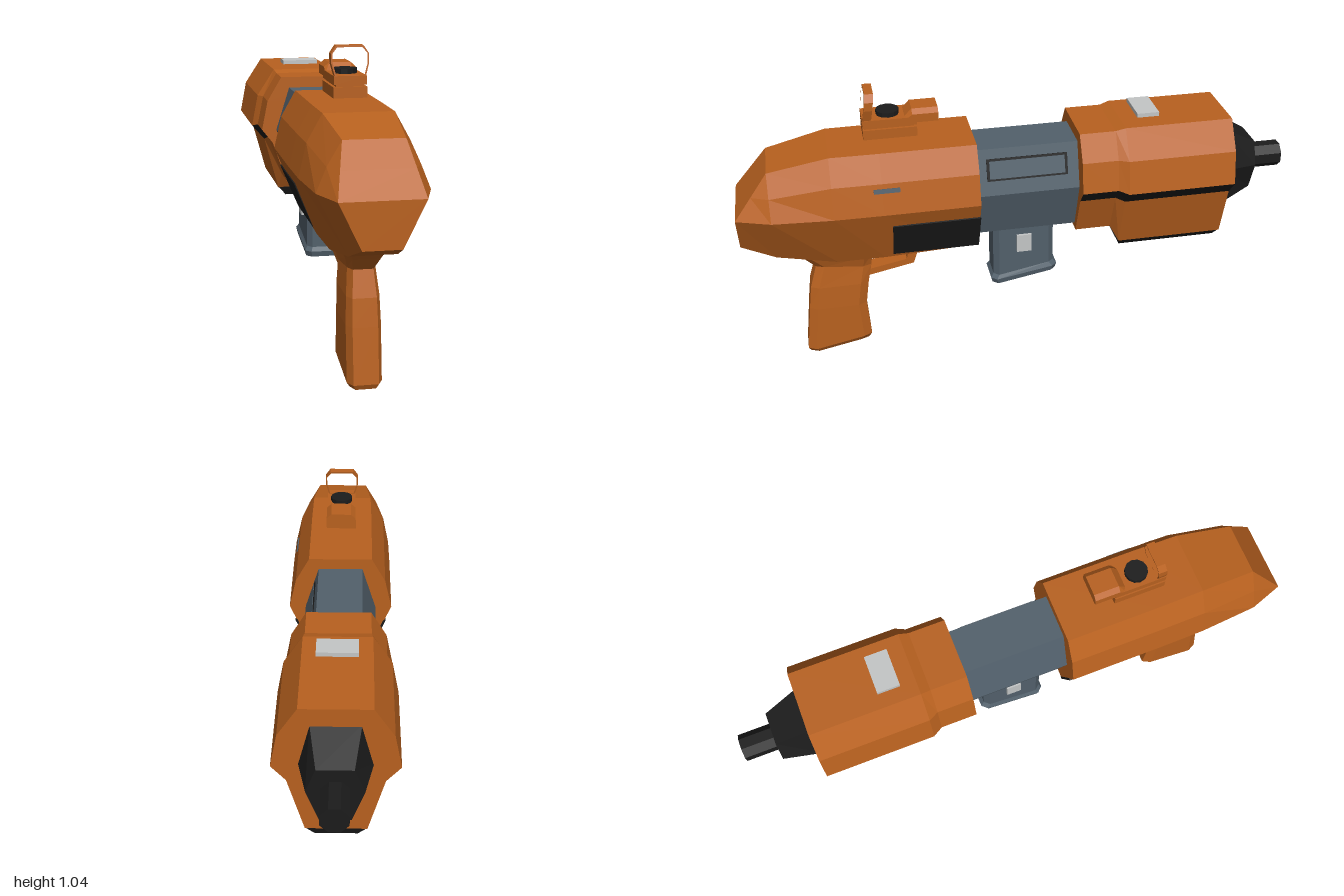
import * as THREE from 'three';

const mat = (name, color) => Object.assign(new THREE.MeshStandardMaterial({ color, flatShading: true }), { name });

// Loft mirrored half-outlines [x, y, z?] (top to bottom) through sections ordered by falling z.
// Facets listed in 'second' use material index 1.
function loft(sections, second = []) {
  const rings = sections.map(({ z, half }) => {
    const right = half.map(([x, y, pz]) => new THREE.Vector3(x, y, pz ?? z));
    const left = right.map(p => new THREE.Vector3(-p.x, p.y, p.z)).reverse();
    return [...right, ...left];
  });
  const lists = [[], []], n = rings[0].length;
  const tri = (k, a, b, c) => {
    const area = b.clone().sub(a).cross(c.clone().sub(a)).length();
    if (area > 1e-8) for (const p of [a, b, c]) lists[k].push(p.x, p.y, p.z);
  };
  const quad = (k, a, b, c, d) => { tri(k, a, b, c); tri(k, a, c, d); };
  for (let s = 0; s + 1 < rings.length; s++) {
    for (let i = 0; i < n; i++) {
      const j = (i + 1) % n, side = Math.min(i, n - 2 - i);
      quad(second.includes(side) ? 1 : 0, rings[s][i], rings[s][j], rings[s + 1][j], rings[s + 1][i]);
    }
  }
  const a = rings[0], b = rings[rings.length - 1];
  for (let i = 0; i + 1 < n / 2; i++) {
    const l = n - 1 - i;
    quad(0, a[i], a[l], a[l - 1], a[i + 1]);
    quad(0, b[i], b[i + 1], b[l - 1], b[l]);
  }
  const geo = new THREE.BufferGeometry();
  geo.setAttribute('position', new THREE.Float32BufferAttribute(lists.flat(), 3));
  geo.addGroup(0, lists[0].length / 3, 0);
  if (lists[1].length) geo.addGroup(lists[0].length / 3, lists[1].length / 3, 1);
  geo.computeVertexNormals();
  return geo;
}

export function createModel() {
  const model = new THREE.Group();
  const orange = mat('orange shell', 0xb8611f);
  const steel = mat('blue grey metal', 0x52606b);
  const black = mat('black rubber', 0x1c1c1c);
  const pale = mat('pale grey', 0xc4c6c6);

  const add = (name, geo, material) => {
    const mesh = new THREE.Mesh(geo, material);
    mesh.name = name;
    model.add(mesh);
    return mesh;
  };
  const box = (name, m, x0, x1, y0, y1, z0, z1) =>
    add(name, new THREE.BoxGeometry(x1 - x0, y1 - y0, z1 - z0), m)
      .position.set((x0 + x1) / 2, (y0 + y1) / 2, (z0 + z1) / 2);
  // Thin plate lying on a sloping side facet from p to q
  const plate = (name, m, p, q, z0, z1, thick = 0.008) => {
    const dx = q[0] - p[0], dy = q[1] - p[1];
    const mesh = add(name, new THREE.BoxGeometry(Math.hypot(dx, dy), thick, z1 - z0), m);
    mesh.position.set((p[0] + q[0]) / 2, (p[1] + q[1]) / 2, (z0 + z1) / 2);
    mesh.rotation.z = Math.atan2(dy, dx);
  };

  // Stock with bevelled rear end
  add('stock', loft([
    { z: 1, half: [[0.095, 0.805, 0.88], [0.1125, 0.7275, 0.94], [0.13, 0.65], [0.06, 0.505]] },
    { z: 0.88, half: [[0.095, 0.805], [0.14, 0.728], [0.172, 0.65], [0.075, 0.457]] },
    { z: 0.67, half: [[0.113, 0.85], [0.163, 0.76], [0.188, 0.65], [0.09, 0.42]] },
    { z: 0.5, half: [[0.115, 0.85], [0.165, 0.76], [0.19, 0.65], [0.1, 0.425]] },
    { z: 0.165, half: [[0.115, 0.85], [0.165, 0.76], [0.19, 0.65], [0.1, 0.438]] },
  ]), orange);
  for (const s of [1, -1])
    plate('stockSidePanel', black, [s * 0.166, 0.59], [s * 0.1025, 0.44], 0.163, 0.472);
  plate('stockSlot', steel, [0.169, 0.743], [0.1725, 0.728], 0.44, 0.53);

  // Receiver with recessed port on the left
  const core = [[0.08, 0.81], [0.13, 0.65], [0.075, 0.47]];
  add('receiver', loft([{ z: 0.18, half: core }, { z: -0.22, half: core }]), steel);
  plate('portFrame', black, [0.091, 0.776], [0.1145, 0.7], -0.16, 0.13, 0.005);
  plate('portCover', steel, [0.0935, 0.768], [0.1125, 0.707], -0.15, 0.12, 0.009);

  // Fore-end with black undercut strips
  const small = [[0.11, 0.85], [0.163, 0.76], [0.185, 0.65], [0.145, 0.6], [0.092, 0.45]];
  const large = [[0.115, 0.86], [0.18, 0.76], [0.203, 0.64], [0.155, 0.585], [0.1, 0.385]];
  add('foreEnd', loft([
    { z: -0.2, half: small },
    { z: -0.33, half: small },
    { z: -0.365, half: large },
    { z: -0.758, half: large },
  ], [2]), [orange, black]);
  add('foreEndBase', loft([
    { z: -0.36, half: [[0.098, 0.387], [0.07, 0.353, -0.375]] },
    { z: -0.758, half: [[0.098, 0.387], [0.07, 0.353, -0.745]] },
  ]), black);
  box('topPlate', pale, -0.068, 0.068, 0.873, 0.888, -0.5, -0.42);

  // Muzzle cone and barrel
  add('muzzleCone', loft([
    { z: -0.75, half: [[0.08, 0.8], [0.118, 0.65], [0.065, 0.468]] },
    { z: -0.88, half: [[0.058, 0.728], [0.09, 0.645], [0.05, 0.535]] },
  ]), black);
  const barrel = add('barrel', new THREE.CylinderGeometry(0.048, 0.048, 0.14, 8), black);
  barrel.rotation.set(Math.PI / 2, Math.PI / 8, 0);
  barrel.position.set(0, 0.64, -0.93);

  // Upright parts: rows of [y at front, y at back, z front, z back, half width]
  const upright = (name, m, rows, bevel) => add(name, loft(rows.map(([yf, yb, zf, zb, w]) => ({
    z: 0,
    half: [[w * 0.72, -zf, yf], [w, -zf - bevel, yf], [w, -zb + bevel, yb], [w * 0.72, -zb, yb]],
  }))).rotateX(-Math.PI / 2), m);

  upright('grip', orange, [
    [0.45, 0.45, 0.53, 0.82, 0.075],
    [0.41, 0.42, 0.545, 0.79, 0.06],
    [0.36, 0.375, 0.55, 0.75, 0.045],
    [0.29, 0.29, 0.565, 0.775, 0.053],
    [0.2, 0.2, 0.578, 0.787, 0.056],
    [0.055, 0.02, 0.568, 0.808, 0.056],
    [0.034, 0.003, 0.58, 0.8, 0.045],
  ], 0.03);

  upright('magazine', steel, [
    [0.49, 0.49, -0.125, 0.1, 0.06],
    [0.3, 0.265, -0.127, 0.1, 0.06],
    [0.285, 0.25, -0.14, 0.11, 0.068],
    [0.265, 0.23, -0.135, 0.105, 0.064],
  ], 0.02);
  for (const s of [1, -1])
    box('magazinePlate', pale, s * 0.063 - 0.007, s * 0.063 + 0.007, 0.365, 0.435, -0.04, 0.015);

  // Trigger guard, drawn in the side plane
  const shapeOf = pts => pts.map(([u, v]) => new THREE.Vector2(u, v));
  const guardShape = new THREE.Shape(shapeOf([[-0.57, 0.45], [-0.57, 0.308], [-0.395, 0.343], [-0.37, 0.415], [-0.31, 0.45]]));
  guardShape.holes.push(new THREE.Path(shapeOf([[-0.545, 0.42], [-0.553, 0.337], [-0.42, 0.362], [-0.405, 0.43]])));
  const guard = new THREE.ExtrudeGeometry(guardShape, { depth: 0.06, bevelEnabled: false });
  add('triggerGuard', guard.translate(0, 0, -0.03).rotateY(Math.PI / 2), orange);

  // Sight: mount, body, front block, dial and window frame
  box('sightMount', orange, -0.055, 0.055, 0.875, 0.91, 0.36, 0.545);
  box('sightNeck', orange, -0.045, 0.045, 0.905, 0.92, 0.37, 0.54);
  box('sightBody', orange, -0.053, 0.053, 0.917, 0.945, 0.36, 0.545);
  add('sightBlock', loft([
    { z: 0.4, half: [[0.036, 0.945], [0.053, 0.935], [0.053, 0.92]] },
    { z: 0.375, half: [[0.036, 0.97], [0.053, 0.955], [0.053, 0.925]] },
    { z: 0.285, half: [[0.036, 0.97], [0.053, 0.955], [0.053, 0.925]] },
  ]), orange);
  const dial = add('sightDial', new THREE.CylinderGeometry(0.04, 0.04, 0.022, 12), black);
  dial.position.set(0, 0.95, 0.455);

  const outline = (w, t, b) => shapeOf([[-0.8 * w, b], [-w, 0.985], [-w, 1.015], [-0.72 * w, t], [0.72 * w, t], [w, 1.015], [w, 0.985], [0.8 * w, b]]);
  const frame = new THREE.Shape(outline(0.061, 1.04, 0.94));
  frame.holes.push(new THREE.Path(outline(0.056, 1.034, 0.946)));
  const frameGeo = new THREE.ExtrudeGeometry(frame, { depth: 0.03, bevelEnabled: false });
  // Lean the frame forward toward its top
  const pos = frameGeo.attributes.position;
  for (let i = 0; i < pos.count; i++) pos.setZ(i, pos.getZ(i) + 0.515 - (pos.getY(i) - 0.94) * 0.14);
  frameGeo.computeVertexNormals();
  add('sightFrame', frameGeo, orange);

  return model;
}
